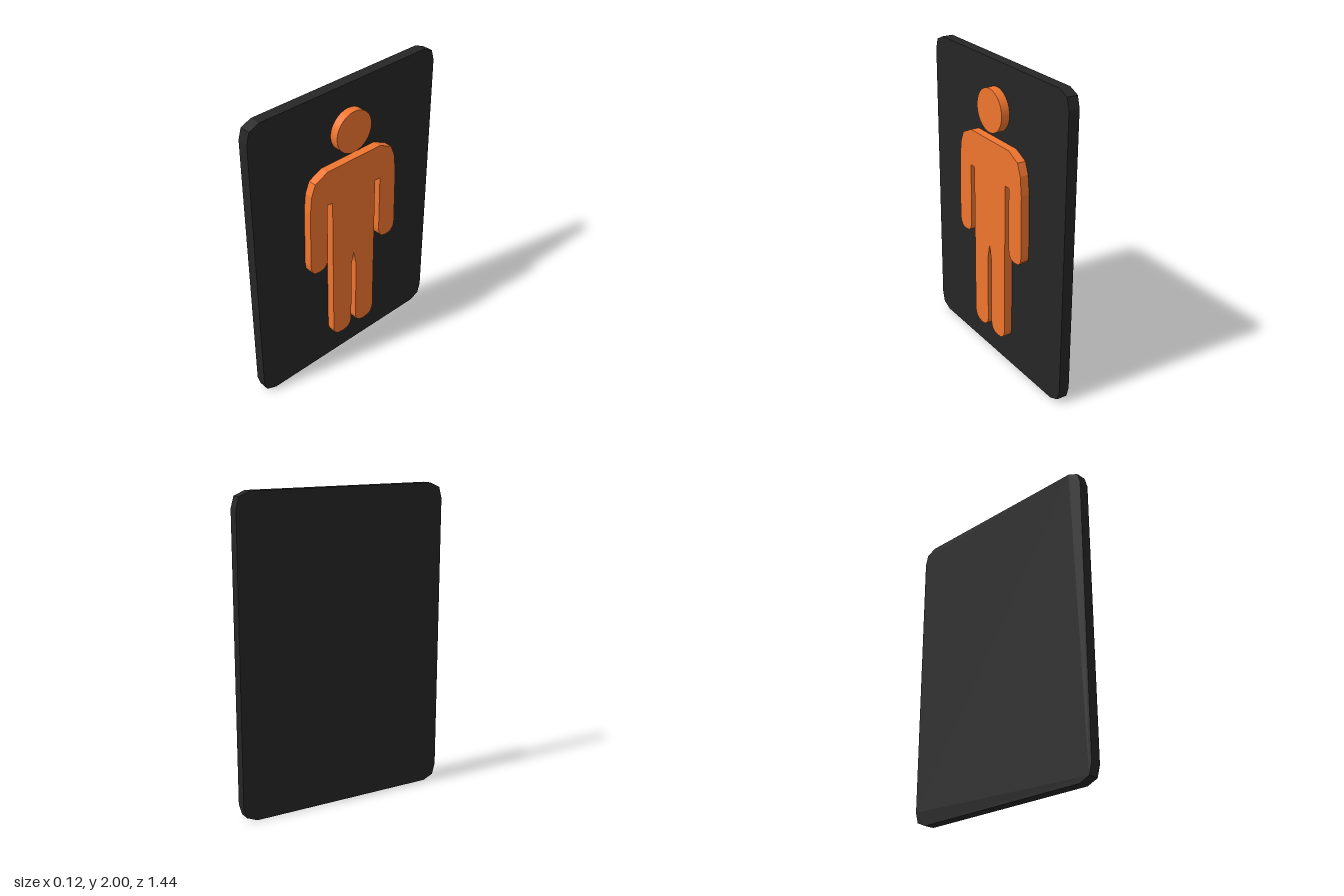
import * as THREE from 'three';

const HEAD_Z = -0.01; // the figure sits slightly off the plate's centre line

// Extrude a shape drawn in (-z, y) along +x, from x0 to x1
function slab(name, shape, x0, x1, material) {
  const geo = new THREE.ExtrudeGeometry(shape, { depth: x1 - x0, bevelEnabled: false, curveSegments: 32 });
  geo.rotateY(Math.PI / 2).translate(x0, 0, 0);
  const mesh = new THREE.Mesh(geo, material);
  mesh.name = name;
  return mesh;
}

// Close a right-hand outline by mirroring it
function mirrored(half) {
  const other = half.filter(([x]) => x > 0).map(([x, y]) => [-x, y]).reverse();
  return new THREE.Shape([...half, ...other].map(([x, y]) => new THREE.Vector2(x, y)));
}

export function createModel() {
  const group = new THREE.Group();
  group.name = 'pictogramSign';
  const dark = new THREE.MeshStandardMaterial({ color: 0x262626, flatShading: true });
  const orange = new THREE.MeshStandardMaterial({ color: 0xf0752f, flatShading: true });

  // Backing plate with faceted corners
  const plate = mirrored([
    [0.63, 0], [0.70, 0.03], [0.72, 0.10],
    [0.72, 1.90], [0.70, 1.97], [0.63, 2],
  ]);
  group.add(slab('backPlate', plate, -0.065, 0.005, dark));

  // Body: crotch, leg, foot, torso side, arm, hand, shoulder
  const body = mirrored([
    [0, 0.812], [0.02, 0.716], [0.02, 0.255], [0.032, 0.22], [0.058, 0.2], [0.098, 0.194],
    [0.138, 0.2], [0.164, 0.22], [0.176, 0.255], [0.176, 1.282], [0.218, 1.282],
    [0.218, 0.88], [0.228, 0.838], [0.25, 0.816], [0.288, 0.81], [0.326, 0.816],
    [0.35, 0.842], [0.357, 0.89], [0.351, 1.28], [0.338, 1.4], [0.308, 1.475], [0.212, 1.52],
  ]);
  const figure = new THREE.Group();
  figure.name = 'figure';
  figure.position.z = HEAD_Z;
  figure.add(slab('body', body, 0.003, 0.06, orange));

  // Round head
  const head = new THREE.Shape().absarc(0, 1.704, 0.137, 0, Math.PI * 2);
  figure.add(slab('head', head, 0.003, 0.06, orange));
  group.add(figure);

  return group;
}
